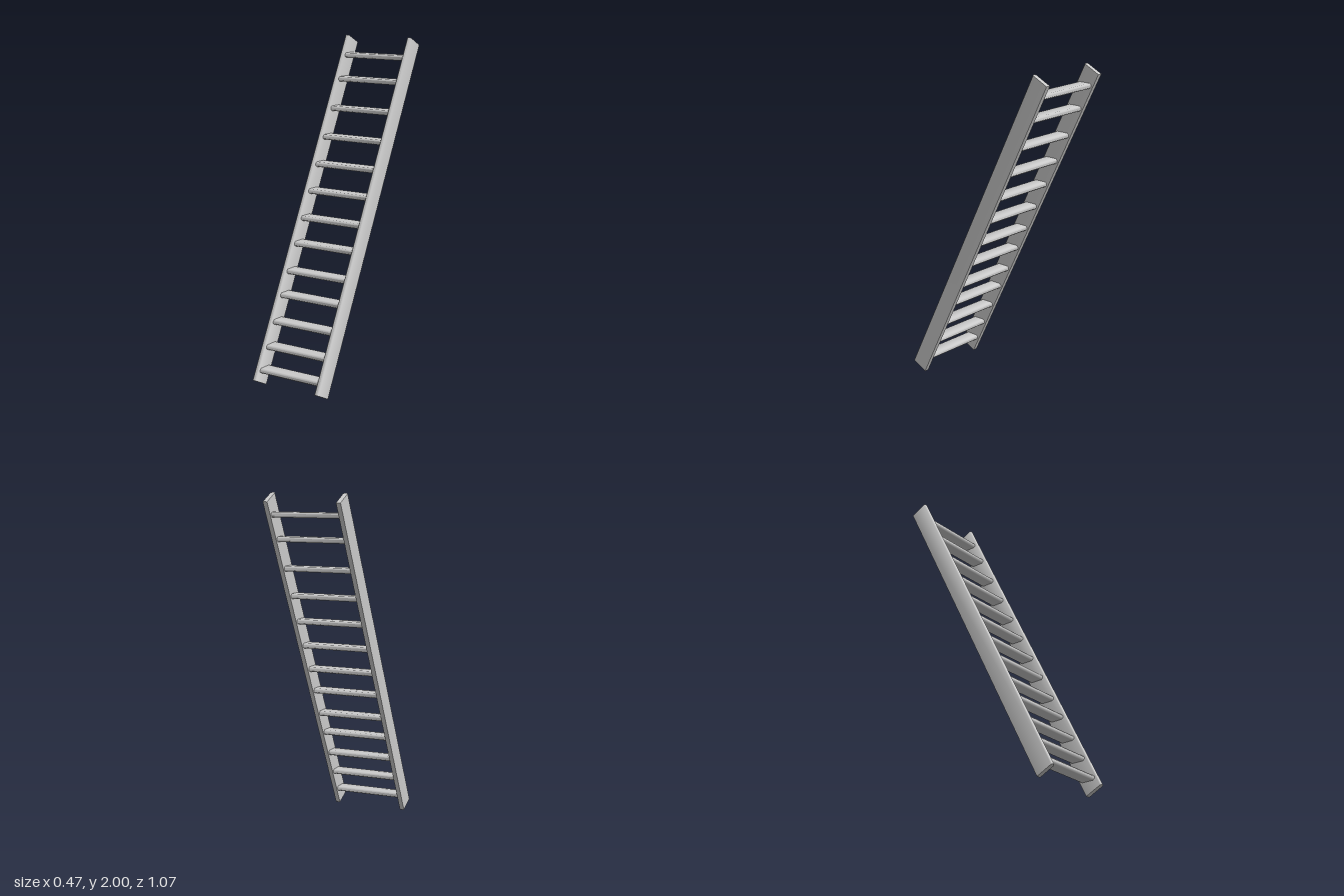
import * as THREE from 'three';
import { toCreasedNormals } from 'three/addons/utils/BufferGeometryUtils.js';

const LEAN = Math.atan2(0.97, 1.95);
const RAIL_LENGTH = 2.178;
const RAIL_X = 0.221;
const RUNG_HEIGHTS = [0.098, 0.225, 0.362, 0.508, 0.64, 0.794, 0.937, 1.09, 1.243, 1.4, 1.566, 1.738, 1.878];

// Centred bar: a closed outline extruded along z, smooth around its rounded sides
function bar(points, length) {
  const shape = new THREE.Shape(points.map(([x, y]) => new THREE.Vector2(x, y)));
  const geometry = new THREE.ExtrudeGeometry(shape, { depth: length, bevelEnabled: false });
  geometry.translate(0, 0, -length / 2);
  return toCreasedNormals(geometry, 1.0);
}

export function createModel() {
  const ladder = new THREE.Group();
  ladder.name = 'ladder';
  const material = new THREE.MeshStandardMaterial({ color: 0xcccccc });

  // Side rails: thin leaning planks, front edge chamfered
  const railGeometry = bar([
    [-0.0135, 0.056], [-0.0135, -0.049], [-0.006, -0.056],
    [0.006, -0.056], [0.0135, -0.049], [0.0135, 0.056],
  ], RAIL_LENGTH);
  railGeometry.rotateX(-Math.PI / 2 - LEAN);
  for (const [side, name] of [[1, 'leftRail'], [-1, 'rightRail']]) {
    const rail = new THREE.Mesh(railGeometry, material);
    rail.name = name;
    rail.position.set(side * RAIL_X, 1, 0);
    ladder.add(rail);
  }

  // Rungs: level flat treads with softened front and back edges
  const rungGeometry = bar([
    [-0.047, -0.006], [-0.036, -0.015], [0.036, -0.015], [0.047, -0.006],
    [0.047, 0.006], [0.036, 0.015], [-0.036, 0.015], [-0.047, 0.006],
  ], 0.42);
  rungGeometry.rotateY(Math.PI / 2);
  RUNG_HEIGHTS.forEach((y, i) => {
    const rung = new THREE.Mesh(rungGeometry, material);
    rung.name = `rung${i + 1}`;
    rung.position.set(0, y, (1 - y) * Math.tan(LEAN) - 0.003);
    ladder.add(rung);
  });

  return ladder;
}
